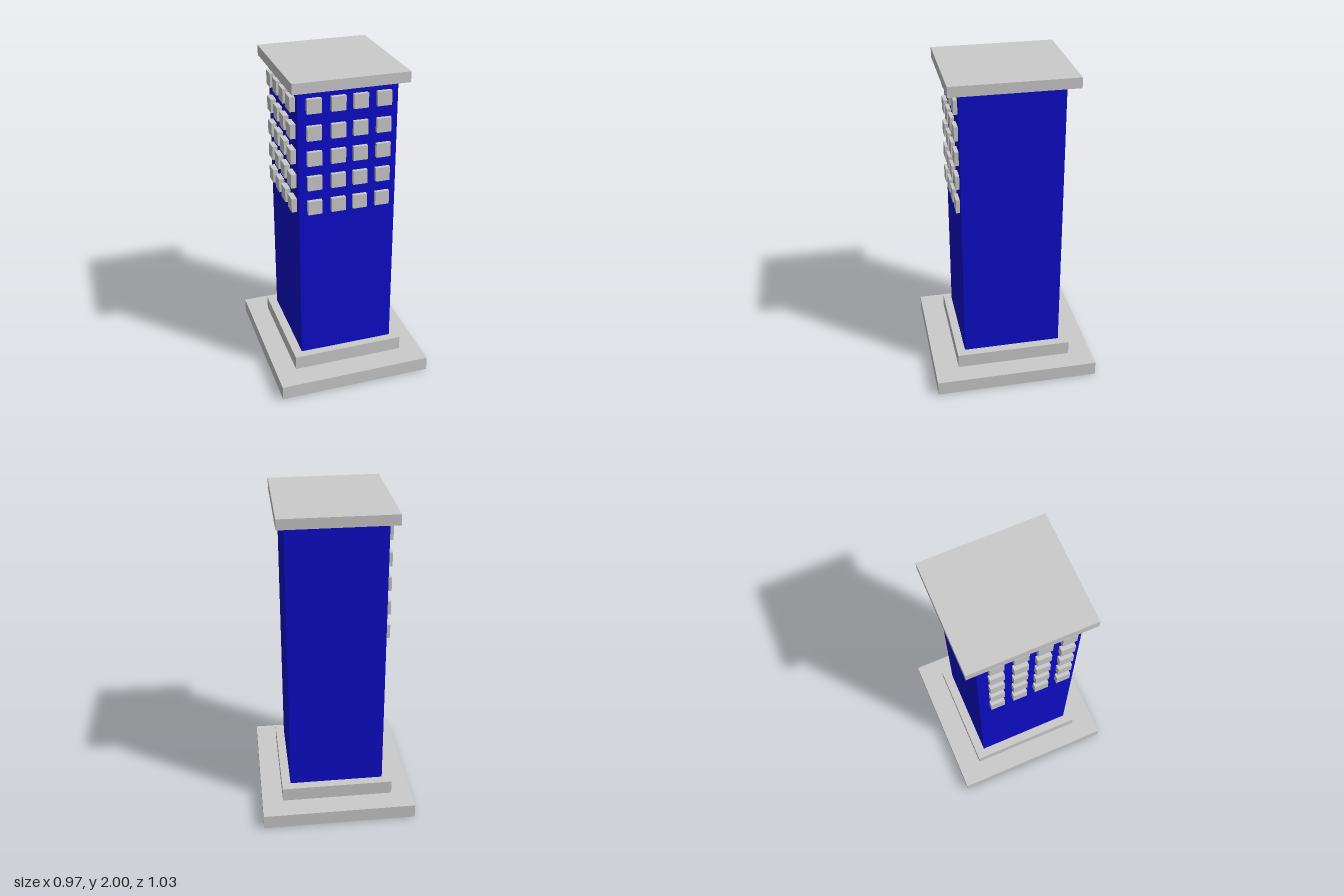
import * as THREE from 'three';

export function createModel() {
  const model = new THREE.Group();
  model.name = 'tower';
  const grey = new THREE.MeshStandardMaterial({ color: 0xcccccc });
  const blue = new THREE.MeshStandardMaterial({ color: 0x0d0dcc });

  // Box given by its lower and upper corner
  function block(name, [x0, y0, z0], [x1, y1, z1], material = grey, parent = model) {
    const mesh = new THREE.Mesh(new THREE.BoxGeometry(x1 - x0, y1 - y0, z1 - z0), material);
    mesh.position.set((x0 + x1) / 2, (y0 + y1) / 2, (z0 + z1) / 2);
    mesh.name = name;
    parent.add(mesh);
  }

  // Stepped plinth, shaft and roof slab
  block('basePlinth', [-0.485, 0, -0.515], [0.485, 0.09, 0.515]);
  block('upperPlinth', [-0.355, 0.09, -0.367], [0.352, 0.18, 0.363]);
  block('shaft', [-0.3, 0.18, -0.308], [0.297, 1.937, 0.311], blue);
  block('roofSlab', [-0.348, 1.937, -0.381], [0.345, 2, 0.378]);

  // Window grids on the front and on the model's right side
  const frontWindows = new THREE.Group();
  frontWindows.name = 'frontWindows';
  const sideWindows = new THREE.Group();
  sideWindows.name = 'sideWindows';
  model.add(frontWindows, sideWindows);

  const half = 0.0435;
  for (const y of [1.213, 1.37, 1.524, 1.68, 1.842]) {
    for (const x of [-0.207, -0.063, 0.07, 0.21]) {
      block('window', [x - half, y - half, 0.305], [x + half, y + half, 0.335], grey, frontWindows);
    }
    for (const z of [-0.2, -0.056, 0.083, 0.226]) {
      block('window', [-0.333, y - half, z - half], [-0.295, y + half, z + half], grey, sideWindows);
    }
  }
  return model;
}
